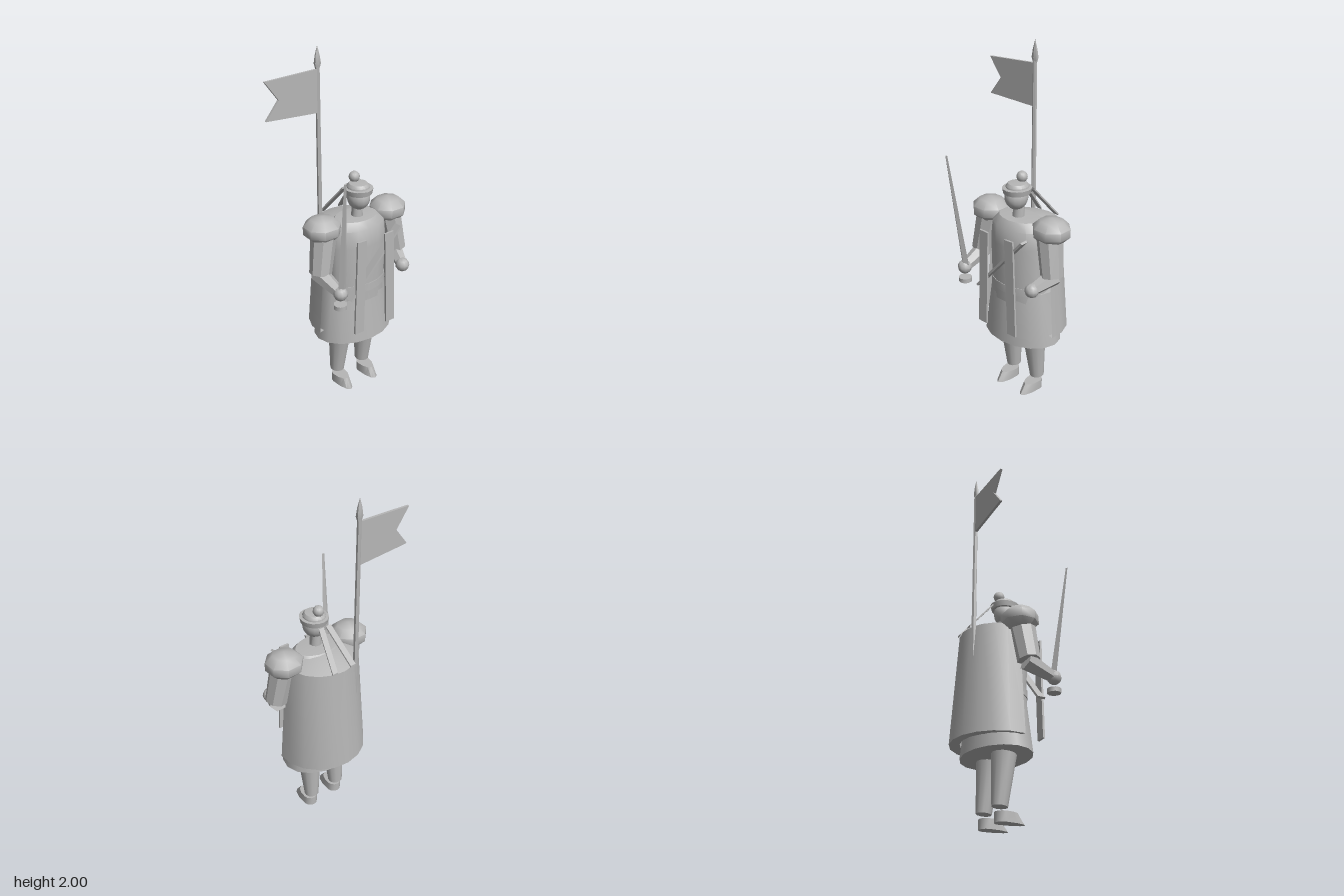
import * as THREE from 'three';
import { toCreasedNormals } from 'three/addons/utils/BufferGeometryUtils.js';

const UP = new THREE.Vector3(0, 1, 0);
const CX = 0.045; // middle of the body

export function createModel() {
  const model = new THREE.Group();
  model.name = 'standardBearer';
  const stone = new THREE.MeshStandardMaterial({ color: 0xb6b6b6, side: THREE.DoubleSide });
  stone.name = 'pale grey';

  const add = (name, geometry, x = 0, y = 0, z = 0, crease = 0.7) => {
    const mesh = new THREE.Mesh(toCreasedNormals(geometry, crease), stone);
    mesh.name = name;
    mesh.position.set(x, y, z);
    model.add(mesh);
    return mesh;
  };

  // Tapered rod from point a to point b
  const rod = (name, a, b, ra, rb, sides = 10, flat = 1) => {
    const from = new THREE.Vector3(...a), to = new THREE.Vector3(...b);
    const dir = to.clone().sub(from);
    const geometry = new THREE.CylinderGeometry(rb, ra, dir.length(), sides);
    geometry.scale(1, 1, flat);
    const mesh = add(name, geometry);
    mesh.position.copy(from).lerp(to, 0.5);
    mesh.quaternion.setFromUnitVectors(UP, dir.normalize());
    return mesh;
  };

  // Elliptical turned form; profile is [radius, height] from bottom to top
  const turned = (name, profile, depth, x, z, start = 0, sweep = Math.PI * 2, sides = 16) => {
    const pts = profile.map(([r, y]) => new THREE.Vector2(r, y));
    const geometry = new THREE.LatheGeometry(pts, sides, start, sweep);
    geometry.scale(1, 1, depth);
    return add(name, geometry, x, 0, z);
  };

  // Flat bar spanning two points, given width across and thickness
  const bar = (name, a, b, width, thick) => {
    const from = new THREE.Vector3(...a), to = new THREE.Vector3(...b);
    const dir = to.clone().sub(from);
    const mesh = add(name, new THREE.BoxGeometry(width, dir.length(), thick));
    mesh.position.copy(from).lerp(to, 0.5);
    mesh.quaternion.setFromUnitVectors(UP, dir.normalize());
    return mesh;
  };

  // Legs and shoes
  for (const x of [-0.05, 0.135]) {
    rod('leg', [x, 0.08, -0.055], [x - Math.sign(x) * 0.003, 0.355, -0.03], 0.042, 0.067, 12);
    const shoe = new THREE.CylinderGeometry(0.041, 0.041, 0.055, 12);
    const p = shoe.attributes.position;
    for (let i = 0; i < p.count; i++) {
      const front = p.getZ(i) > 0, top = p.getY(i) > 0;
      p.setZ(i, p.getZ(i) * (front ? (top ? 2.1 : 3.1) : 1));
    }
    add('shoe', shoe, x, 0.0275, -0.04);
  }

  // Coat skirt, torso, belt and cloak
  turned('coatSkirt', [[0, 0.36], [0.245, 0.36], [0.2, 0.68], [0, 0.7]], 0.735, CX, -0.03);
  turned('torso', [[0.18, 0.6], [0.18, 0.72], [0.185, 0.95], [0.175, 1.05],
    [0.13, 1.092], [0, 1.1]], 0.69, CX, 0);
  turned('belt', [[0.17, 0.67], [0.186, 0.67], [0.184, 0.715], [0.17, 0.715]], 0.69, CX, 0);
  turned('cloak', [[0.2, 0.43], [0.26, 0.425], [0.215, 1.045], [0.12, 1.08], [0, 1.095]],
    0.95, CX, -0.03, Math.PI * 0.45, Math.PI * 1.1, 10);

  // Arms
  const arms = [
    { shoulder: [-0.18, 1.04, 0.01], elbow: [-0.218, 0.825, 0.03], hand: [-0.2, 0.765, 0.19] },
    { shoulder: [0.27, 1.04, 0.01], elbow: [0.308, 0.825, 0.03], hand: [0.268, 0.77, 0.145] },
  ];
  for (const { shoulder, elbow, hand } of arms) {
    rod('upperArm', shoulder, elbow, 0.072, 0.062, 8);
    rod('forearm', [elbow[0], 0.82, 0.01], hand, 0.052, 0.032, 6);
    add('hand', new THREE.SphereGeometry(0.04, 10, 8), ...hand);
    const pad = new THREE.SphereGeometry(0.112, 8, 5);
    pad.rotateY(Math.PI / 8);
    pad.scale(1, 0.67, 0.96);
    add('shoulderPad', pad, shoulder[0], 1.072, -0.003, 0.9);
  }

  // Sword with a round guard under the fist
  rod('swordBlade', [-0.19, 0.77, 0.19], [-0.229, 1.44, 0.274], 0.027, 0.008, 4, 0.65);
  add('swordPommel', new THREE.CylinderGeometry(0.038, 0.038, 0.025, 10), -0.2, 0.688, 0.188);

  // Chest straps
  bar('chestStrap', [-0.067, 0.46, 0.18], [-0.05, 1.03, 0.18], 0.06, 0.012);
  bar('chestStrap', [0.155, 0.46, 0.18], [0.133, 1.03, 0.18], 0.06, 0.012);
  bar('crossStrap', [-0.116, 0.675, 0.157], [0.22, 1.04, 0.157], 0.013, 0.045);

  // Head and hat
  add('neck', new THREE.CylinderGeometry(0.03, 0.035, 0.1, 10), CX, 1.12, 0.01);
  const head = new THREE.SphereGeometry(0.065, 14, 10);
  head.scale(0.95, 1.08, 1.06);
  add('head', head, 0.043, 1.21, 0.025);
  turned('hatBrim', [[0.05, 1.235], [0.073, 1.235], [0.079, 1.265], [0.06, 1.267]], 1.06, CX, 0.022);
  turned('hatCrown', [[0.062, 1.25], [0.062, 1.275], [0.05, 1.29], [0, 1.295]], 1.05, CX, 0.02);
  add('pompom', new THREE.SphereGeometry(0.031, 12, 8), CX, 1.315, -0.016);

  // Ribbons trailing from the hat to the back, each a slim slanted strip
  for (const side of [-1, 1]) {
    const ribbon = new THREE.BoxGeometry(0.034, 0.012, 1);
    const p = ribbon.attributes.position;
    for (let i = 0; i < p.count; i++) {
      const t = p.getZ(i) > 0 ? 0 : 1; // 0 at the hat, 1 at the back
      p.setXYZ(i, CX + side * (0.024 + t * 0.038) + p.getX(i),
        1.237 - t * 0.187 + p.getY(i), -0.07 - t * 0.16);
    }
    ribbon.computeVertexNormals();
    add('hatRibbon', ribbon);
  }

  // Flagpole, finial and swallow-tailed flag
  rod('flagPole', [-0.048, 0.8, -0.213], [-0.048, 1.9, -0.213], 0.014, 0.012, 6);
  const finial = turned('poleFinial', [[0.01, 1.87], [0.021, 1.905], [0.014, 1.95], [0, 2]],
    0.7, -0.048, -0.213, 0, Math.PI * 2, 6);
  finial.rotation.y = 0;
  const outline = new THREE.Shape([[-0.052, 1.64], [-0.052, 1.877], [-0.375, 1.863],
    [-0.295, 1.755], [-0.375, 1.655]].map(([x, y]) => new THREE.Vector2(x, y)));
  add('flag', new THREE.ExtrudeGeometry(outline, { depth: 0.014, bevelEnabled: false }), 0, 0, -0.22);

  return model;
}
